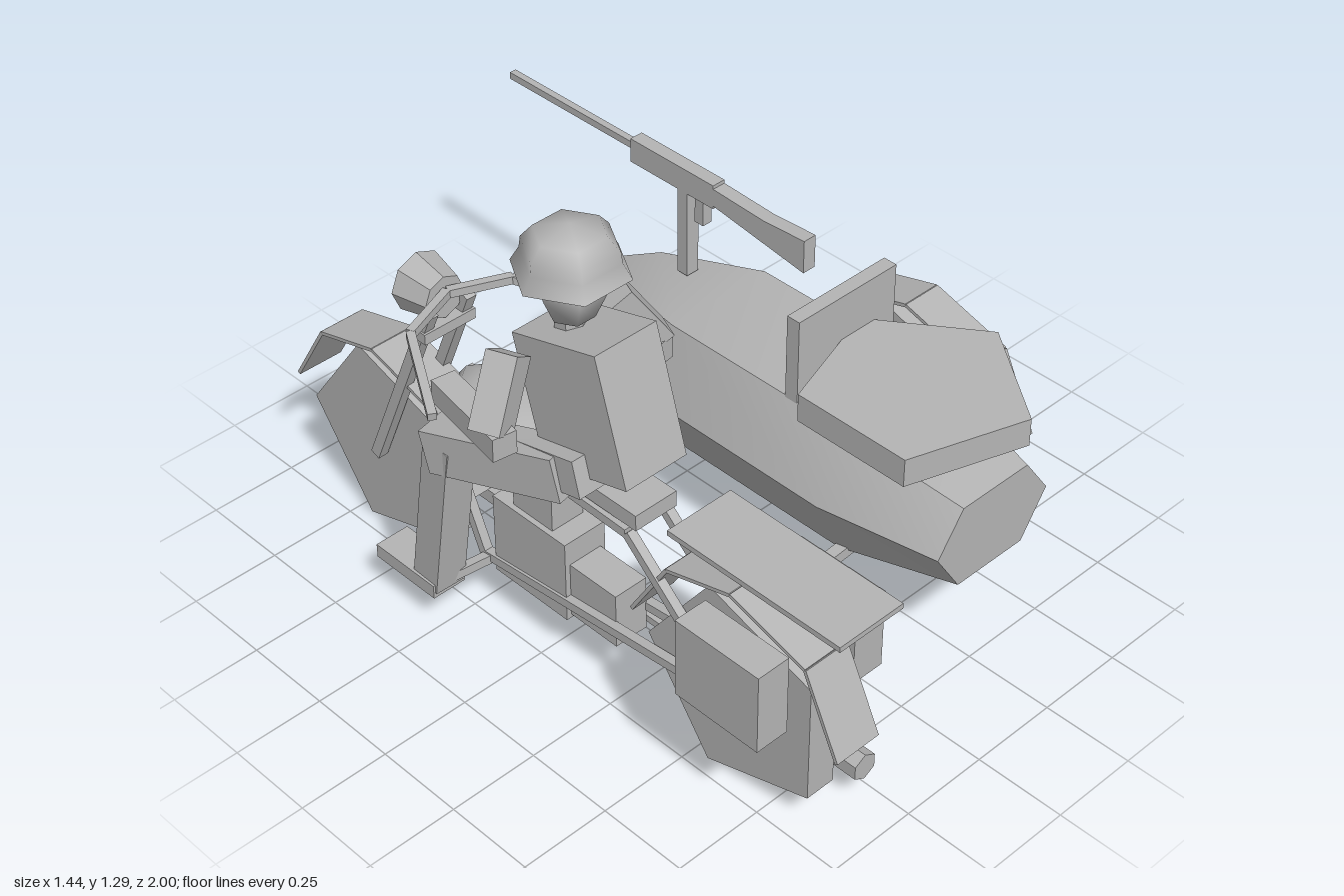
import * as THREE from 'three';
import { toCreasedNormals } from 'three/addons/utils/BufferGeometryUtils.js';

const grey = new THREE.MeshStandardMaterial({ color: 0xb4b4b4 });
grey.name = 'plain grey';
const BX = -0.416; // centre line of the motorcycle
const SX = 0.285; // centre line of the sidecar

export function createModel() {
  const root = new THREE.Group();
  root.name = 'motorcycleWithSidecar';

  function add(name, geo, x = 0, y = 0, z = 0, flat = true) {
    if (flat) geo = toCreasedNormals(geo, 0.2);
    const m = new THREE.Mesh(geo, grey);
    m.name = name;
    m.position.set(x, y, z);
    root.add(m);
    return m;
  }
  const box = (name, w, h, d, x, y, z) => add(name, new THREE.BoxGeometry(w, h, d), x, y, z);
  // box stretched between two points
  function beam(name, a, b, w, h = w) {
    const p = new THREE.Vector3(...a), q = new THREE.Vector3(...b);
    const m = box(name, w, h, p.distanceTo(q), 0, 0, 0);
    m.position.copy(p).add(q).multiplyScalar(0.5);
    m.lookAt(q);
    return m;
  }
  const both = (fn) => [-1, 1].forEach((s) => fn(s, s < 0 ? 'right' : 'left'));

  // Five-sided wheels with bent mudguards
  const guard = [[0.34, 0.035], [0.235, 0.25], [0, 0.32], [-0.205, 0.262], [-0.322, 0.07]];
  function wheel(name, x, z, w, guardWidth) {
    const g = new THREE.CylinderGeometry(0.29, 0.29, w, 5).rotateY(Math.PI).rotateZ(Math.PI / 2);
    add(name + 'Wheel', g, x, 0.285, z);
    for (let i = 0; i < 4; i++) {
      const [a, b] = [guard[i], guard[i + 1]];
      beam(name + 'Mudguard', [x, 0.285 + a[1], z + a[0]], [x, 0.285 + b[1], z + b[0]], guardWidth, 0.01);
    }
  }
  wheel('front', BX, -0.62, 0.085, 0.135);
  wheel('rear', BX, 0.635, 0.085, 0.135);
  wheel('sidecar', 0.662, 0.18, 0.085, 0.12);
  add('spareWheel', new THREE.CylinderGeometry(0.29, 0.29, 0.08, 5).rotateY(Math.PI / 2), 0.275, 0.68, 0.51);

  // Sidecar hull: hexagonal cross-sections [z, half width, half flat, top, middle, bottom]
  const sections = [
    [0.76, 0.197, 0.115, 0.545, 0.43, 0.305],
    [0.42, 0.255, 0.165, 0.61, 0.425, 0.24],
    [-0.17, 0.25, 0.165, 0.608, 0.42, 0.24],
    [-0.47, 0.172, 0.085, 0.555, 0.42, 0.285],
    [-0.68, 0.05, 0.03, 0.455, 0.41, 0.355],
  ];
  const pos = [], idx = [];
  for (const [z, w, f, t, m, b] of sections) {
    for (const [x, y] of [[w, m], [f, t], [-f, t], [-w, m], [-f, b], [f, b]]) pos.push(SX + x, y, z);
  }
  const last = (sections.length - 1) * 6;
  for (let s = 0; s < last; s += 6) {
    for (let i = 0; i < 6; i++) {
      const a = s + i, b = s + (i + 1) % 6;
      idx.push(a, a + 6, b, b, a + 6, b + 6);
    }
  }
  for (let i = 1; i < 5; i++) idx.push(0, i, i + 1, last, last + i + 1, last + i);
  const hull = new THREE.BufferGeometry();
  hull.setAttribute('position', new THREE.Float32BufferAttribute(pos, 3));
  hull.setIndex(idx);
  add('sidecarHull', toCreasedNormals(hull, 0.55), 0, 0, 0, false);
  box('sidecarBackrest', 0.34, 0.26, 0.04, 0.288, 0.72, 0.245);

  // Sidecar struts and axle arms
  beam('rearStrut', [-0.35, 0.2, 0.432], [0.16, 0.245, 0.432], 0.032);
  beam('frontStrut', [-0.35, 0.2, -0.255], [0.16, 0.245, -0.255], 0.035);
  beam('axleArm', [0.36, 0.24, -0.2], [0.63, 0.28, 0.18], 0.03);
  beam('axleArm', [0.36, 0.24, 0.56], [0.63, 0.28, 0.18], 0.03);

  // Gun on its post
  const gx = 0.335;
  const stock = new THREE.Shape([[-0.09, 0.805], [0.23, 0.85], [0.23, 0.9], [0.05, 0.892], [-0.09, 0.9]]
    .map((p) => new THREE.Vector2(...p)));
  add('gunStock', new THREE.ExtrudeGeometry(stock, { depth: 0.04, bevelEnabled: false }).rotateY(Math.PI / 2), gx - 0.02);
  box('gunReceiver', 0.04, 0.07, 0.3, gx, 0.875, -0.375);
  beam('gunBarrel', [gx, 0.882, -0.5], [gx, 0.882, -1], 0.02);
  box('gunPost', 0.04, 0.27, 0.035, gx, 0.72, -0.335);
  box('gunGrip', 0.03, 0.08, 0.03, gx, 0.805, -0.28);

  // Motorcycle frame, tank, seat and engine
  const tank = new THREE.SphereGeometry(1, 8, 6);
  tank.scale(0.12, 0.07, 0.2);
  add('fuelTank', tank, BX, 0.645, -0.16, false);
  box('seat', 0.13, 0.045, 0.36, BX, 0.625, 0.15);
  box('engine', 0.13, 0.24, 0.26, BX, 0.28, -0.05);
  box('gearbox', 0.1, 0.16, 0.16, BX, 0.25, 0.16);
  beam('cylinderHead', [BX, 0.38, -0.05], [BX, 0.54, -0.05], 0.1, 0.14);
  both((s, side) => {
    const x = BX + 0.06 * s;
    beam(side + 'TopTube', [x, 0.6, -0.4], [x, 0.58, 0.3], 0.025);
    beam(side + 'DownTube', [x, 0.6, -0.4], [x, 0.19, -0.22], 0.025);
    beam(side + 'LowerTube', [x, 0.19, -0.22], [x, 0.28, 0.635], 0.025);
    beam(side + 'SeatStay', [x, 0.58, 0.3], [x, 0.28, 0.635], 0.025);
    beam(side + 'Fork', [x, 0.84, -0.385], [BX + 0.065 * s, 0.275, -0.625], 0.03);
    box(side + 'Saddlebag', 0.095, 0.225, 0.26, BX + 0.155 * s, 0.482, 0.73);
    beam(side + 'FootRail', [BX + 0.06 * s, 0.19, -0.2], [BX + 0.2 * s, 0.135, -0.27], 0.025);

    // Handlebar
    const bar = [[0, 0.87, -0.39], [0.16, 0.86, -0.335], [0.295, 0.82, -0.1]]
      .map(([bx, y, z]) => [BX + bx * s, y, z]);
    beam(side + 'Handlebar', bar[0], bar[1], 0.022);
    beam(side + 'HandlebarGrip', bar[1], bar[2], 0.022);
  });
  box('forkBridge', 0.16, 0.03, 0.05, BX, 0.77, -0.41);
  box('luggageRack', 0.2, 0.015, 0.53, BX, 0.707, 0.735);

  // Headlamp
  const lamp = new THREE.CylinderGeometry(0.082, 0.06, 0.1, 8).rotateX(-Math.PI / 2);
  add('headlamp', lamp, BX, 0.85, -0.45);

  // Exhaust
  const tube = (r, len) => new THREE.CylinderGeometry(r, r, len, 6).rotateX(Math.PI / 2);
  add('silencer', tube(0.038, 0.38), -0.298, 0.125, 0.71);
  add('exhaustPipe', tube(0.02, 0.78), -0.298, 0.13, 0.14);
  beam('exhaustElbow', [-0.298, 0.13, -0.25], [-0.37, 0.32, -0.12], 0.035);

  // Rider: trunk and head
  box('riderTorso', 0.19, 0.345, 0.29, BX, 0.865, 0.145).rotation.x = -0.285;
  box('riderHips', 0.27, 0.1, 0.2, BX, 0.695, 0.11).rotation.x = -0.25;
  const lathe = (pts) => new THREE.LatheGeometry(pts.map((p) => new THREE.Vector2(...p)), 6, Math.PI / 6);
  add('riderNeck', new THREE.CylinderGeometry(0.04, 0.04, 0.1, 6), BX, 1.045, 0.055);
  add('riderHead', lathe([[0, 1.05], [0.055, 1.05], [0.085, 1.12], [0.085, 1.18], [0, 1.2]]), BX, 0, 0.06, false);
  const dome = lathe([[0, 1.17], [0.145, 1.17], [0.122, 1.21], [0.118, 1.24], [0.088, 1.275], [0, 1.297]]);
  add('riderHelmet', toCreasedNormals(dome, 1.1), BX, 0, 0.06, false);

  // Rider: limbs
  both((s, side) => {
    const at = (x, y, z) => [BX + x * s, y, z];
    beam(side + 'UpperArm', at(0.16, 1.0, 0.02), at(0.258, 0.845, 0.06), 0.08);
    beam(side + 'Forearm', at(0.25, 0.825, 0.1), at(0.21, 0.83, -0.16), 0.065);
    beam(side + 'Thigh', at(0.1, 0.69, 0.14), at(0.178, 0.6, -0.24), 0.1, 0.12);
    beam(side + 'Shin', at(0.17, 0.63, -0.2), at(0.168, 0.14, -0.28), 0.09, 0.09);
    box(side + 'Foot', 0.1, 0.04, 0.22, BX + 0.17 * s, 0.14, -0.35);
  });

  return root;
}
